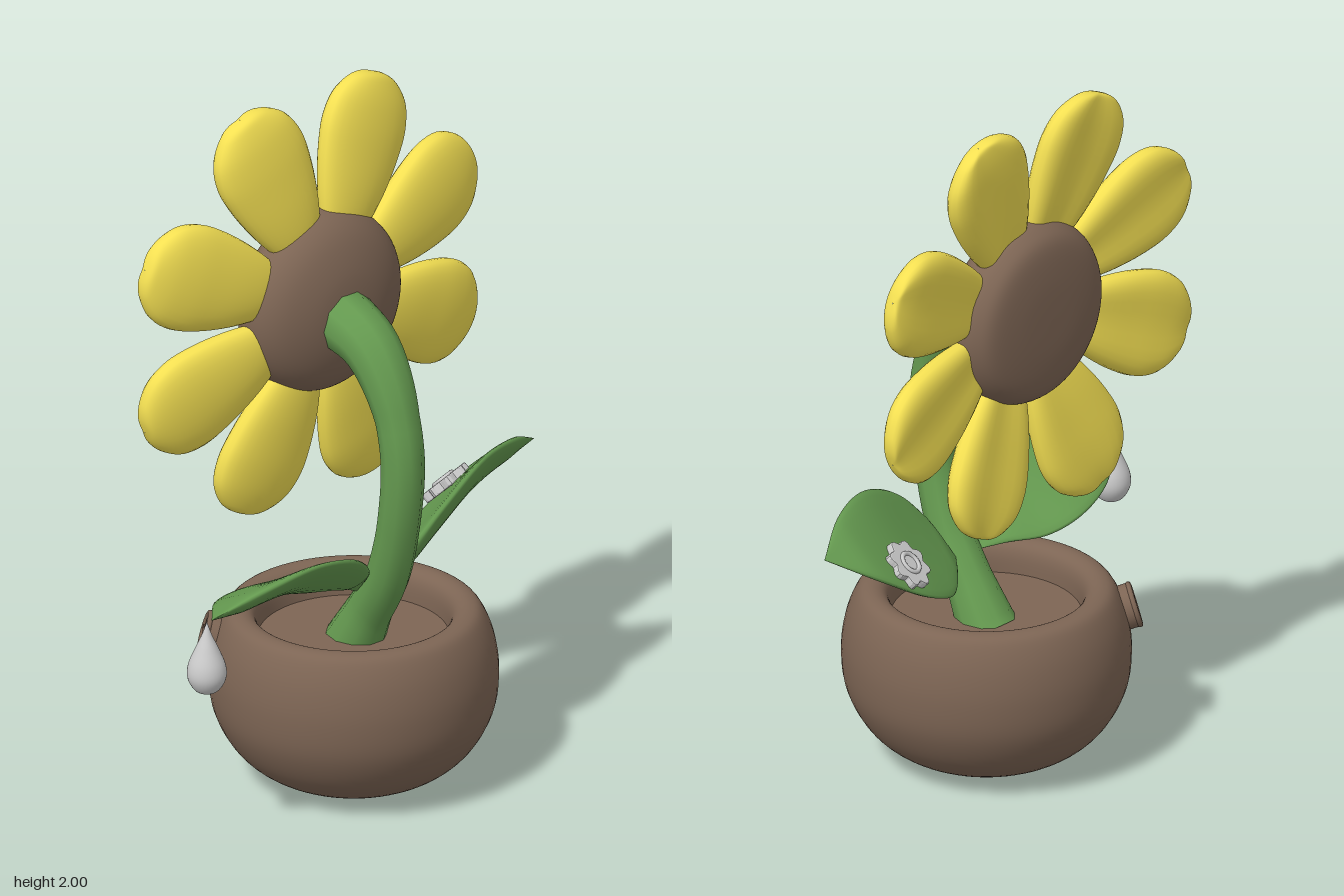
import * as THREE from 'three';

const material = (color) => new THREE.MeshStandardMaterial({ color, roughness: 0.8 });
const brown = material(0x7d6554);
const green = material(0x659a50);
const yellow = material(0xf3df52);
const grey = material(0xcccccc);

const V = (p) => new THREE.Vector3(...p);

function part(parent, name, geometry, mat) {
  const mesh = new THREE.Mesh(geometry, mat);
  mesh.name = name;
  parent.add(mesh);
  return mesh;
}

// Skin over equal-sized closed rings of points; faces are turned outward by signed volume.
function loft(rings) {
  const n = rings[0].length, flat = rings.flat(), index = [];
  for (let i = 0; i < rings.length - 1; i++) {
    for (let j = 0; j < n; j++) {
      const a = i * n + j, b = i * n + (j + 1) % n;
      index.push(a, b, b + n, a, b + n, a + n);
    }
  }
  let volume = 0;
  for (let i = 0; i < index.length; i += 3) {
    volume += flat[index[i]].dot(flat[index[i + 1]].clone().cross(flat[index[i + 2]]));
  }
  if (volume < 0) index.reverse();
  const g = new THREE.BufferGeometry().setFromPoints(flat);
  g.setIndex(index);
  g.computeVertexNormals();
  return g;
}

function ring(n, fn) {
  return Array.from({ length: n }, (_, j) => fn((j / n) * Math.PI * 2));
}

// Smooth turned shape from a few [radius, height] points
function turned(points, segments = 64) {
  const curve = new THREE.SplineCurve(points.map((p) => new THREE.Vector2(...p)));
  const profile = curve.getPoints(points.length * 5);
  profile.forEach((p) => { p.x = Math.max(0, p.x); });
  return new THREE.LatheGeometry(profile, segments);
}

// Linear lookup in a table of [position, value...] rows
function lookup(table, x) {
  let i = 0;
  while (i < table.length - 2 && x > table[i + 1][0]) i++;
  const [a, b] = [table[i], table[i + 1]];
  const t = (x - a[0]) / (b[0] - a[0]);
  return a.slice(1).map((v, k) => v + (b[k + 1] - v) * t);
}

function petalGeometry() {
  const outline = new THREE.CatmullRomCurve3([
    // radius, half width, half thickness
    [0.18, 0.06, 0.025], [0.24, 0.09, 0.042], [0.32, 0.12, 0.052], [0.42, 0.145, 0.056],
    [0.5, 0.152, 0.056], [0.57, 0.133, 0.05], [0.62, 0.085, 0.037], [0.638, 0.045, 0.025], [0.643, 0.001, 0.001],
  ].map(V));
  const rings = outline.getPoints(32).map(({ x: r, y: w, z: h }) => {
    const zc = -0.135 - 0.09 * (r - 0.18) / 0.46 * 0.65;
    return ring(28, (a) => {
      const u = Math.cos(a), s = Math.sin(a);
      const v = Math.sign(s) * Math.abs(s) ** 0.8;
      const dent = s < 0 ? 1 - 0.4 * (1 - u * u) ** 2 : 1; // shallow hollow at the back
      return new THREE.Vector3(w * u, r, zc + h * v * dent);
    });
  });
  return loft(rings);
}

// Lens-shaped leaf between a front and a back edge
function leafGeometry(front, back) {
  const f = new THREE.CatmullRomCurve3(front.map(V));
  const b = new THREE.CatmullRomCurve3(back.map(V));
  const rings = [];
  for (let i = 0; i <= 30; i++) {
    const t = i / 30, F = f.getPoint(t), B = b.getPoint(t);
    const across = F.clone().sub(B);
    const along = f.getTangent(t).add(b.getTangent(t));
    const up = across.clone().cross(along).normalize();
    if (up.y < 0) up.negate();
    const width = across.length();
    rings.push(ring(24, (a) => {
      const c = Math.cos(a);
      const sag = -0.06 * width * (1 - c * c);
      return B.clone().lerp(F, (1 + c) / 2)
        .addScaledVector(up, Math.sin(a) * Math.min(0.024, 0.12 * width) + sag);
    }));
  }
  return loft(rings);
}

function stemGeometry() {
  const curve = new THREE.CatmullRomCurve3([
    [0.035, 0.39, -0.02], [0.034, 0.515, 0.05], [0.025, 0.65, 0.135], [0.012, 0.85, 0.2],
    [0.01, 1.05, 0.214], [0.01, 1.22, 0.165], [0.01, 1.33, 0.08], [0.01, 1.375, -0.04],
  ].map(V));
  const radii = [[0, 0.085], [0.13, 0.066], [0.4, 0.06], [0.7, 0.062], [0.88, 0.08], [1, 0.092]];
  const side = new THREE.Vector3(1, 0, 0), steps = 40, rings = [];
  for (let i = 0; i <= steps; i++) {
    const t = i / steps, p = curve.getPointAt(t);
    const normal = side.clone().cross(curve.getTangentAt(t)).normalize();
    const [r] = lookup(radii, t);
    rings.push(ring(10, (a) => p.clone()
      .addScaledVector(side, r * Math.cos(a)).addScaledVector(normal, r * Math.sin(a))));
  }
  return loft(rings);
}

export function createModel() {
  const model = new THREE.Group();
  model.name = 'pottedFlower';

  // Pot with rolled lip, and soil
  const pot = part(model, 'pot', turned([
    [0, 0.005], [0.12, 0.01], [0.23, 0.035], [0.325, 0.105], [0.385, 0.21], [0.4, 0.32],
    [0.387, 0.42], [0.355, 0.495], [0.32, 0.515], [0.285, 0.505], [0.267, 0.47], [0.262, 0.4],
  ]), brown);
  pot.position.x = 0.02;
  const soil = part(model, 'soil', new THREE.CylinderGeometry(0.27, 0.27, 0.03, 48), brown);
  soil.position.set(0.02, 0.41, 0);

  part(model, 'stem', stemGeometry(), green);

  // Flower head
  const head = new THREE.Group();
  head.name = 'flowerHead';
  head.position.set(0.02, 1.395, 0);
  model.add(head);
  const disc = turned([
    [0, -0.243], [0.12, -0.24], [0.215, -0.225], [0.255, -0.19], [0.266, -0.145],
    [0.25, -0.09], [0.2, -0.045], [0.11, -0.012], [0, 0],
  ]);
  part(head, 'flowerCentre', disc.rotateX(Math.PI / 2), brown);
  const petal = petalGeometry();
  for (let i = 0; i < 8; i++) {
    part(head, 'petal', petal, yellow).rotation.z = (i + 0.5) * Math.PI / 4;
  }

  // Leaves
  part(model, 'leftLeaf', leafGeometry(
    [[0.08, 0.6, 0.06], [0.12, 0.7, 0.13], [0.22, 0.81, 0.155], [0.4, 0.89, 0.12], [0.55, 0.88, 0.07], [0.68, 0.82, 0]],
    [[0.08, 0.599, 0.059], [0.14, 0.59, 0], [0.25, 0.59, -0.09], [0.4, 0.65, -0.13], [0.55, 0.74, -0.1], [0.68, 0.819, -0.001]],
  ), green);
  part(model, 'rightLeaf', leafGeometry(
    [[-0.02, 0.59, 0.06], [-0.07, 0.7, 0.17], [-0.18, 0.79, 0.235], [-0.32, 0.82, 0.245], [-0.47, 0.79, 0.22], [-0.635, 0.72, 0.155]],
    [[-0.02, 0.589, 0.059], [-0.07, 0.61, 0], [-0.17, 0.61, -0.05], [-0.29, 0.635, -0.07], [-0.47, 0.67, -0.01], [-0.635, 0.719, 0.154]],
  ), green);

  // Drop hanging from the right leaf tip
  const drop = part(model, 'waterDrop', turned([
    [0, 0.495], [0.032, 0.505], [0.053, 0.54], [0.052, 0.58], [0.032, 0.63], [0.014, 0.67], [0, 0.71],
  ], 32), grey);
  drop.position.set(-0.635, 0, 0.135);

  // Scalloped badge lying on the left leaf
  const badge = new THREE.Group();
  badge.name = 'leafBadge';
  badge.position.set(0.425, 0.73, -0.067);
  badge.lookAt(badge.position.clone().add(new THREE.Vector3(-0.25, 0.73, -0.66)));
  model.add(badge);
  const scallop = new THREE.Shape(ring(64, (a) => {
    const r = 0.064 + 0.008 * Math.cos(8 * a);
    return new THREE.Vector2(r * Math.cos(a), r * Math.sin(a));
  }));
  part(badge, 'badgePlate', new THREE.ExtrudeGeometry(scallop, {
    depth: 0.02, bevelEnabled: true, bevelSize: 0.004, bevelThickness: 0.004, bevelSegments: 2,
  }), grey);
  part(badge, 'badgeRing', new THREE.TorusGeometry(0.03, 0.007, 8, 28), grey).position.z = 0.024;

  // Round cross-marked stud on the back of the pot
  const stud = new THREE.Group();
  stud.name = 'potStud';
  stud.position.set(-0.273, 0.425, -0.256);
  stud.lookAt(stud.position.clone().add(new THREE.Vector3(-0.74, 0.28, -0.65)));
  model.add(stud);
  const plate = new THREE.CylinderGeometry(0.063, 0.063, 0.04, 32).rotateX(Math.PI / 2);
  part(stud, 'studPlate', plate, brown);
  part(stud, 'studRim', new THREE.TorusGeometry(0.058, 0.008, 8, 32), brown).position.z = 0.02;
  for (const [w, h] of [[0.08, 0.014], [0.014, 0.08]]) {
    part(stud, 'studBar', new THREE.BoxGeometry(w, h, 0.012), brown).position.z = 0.021;
  }

  return model;
}
